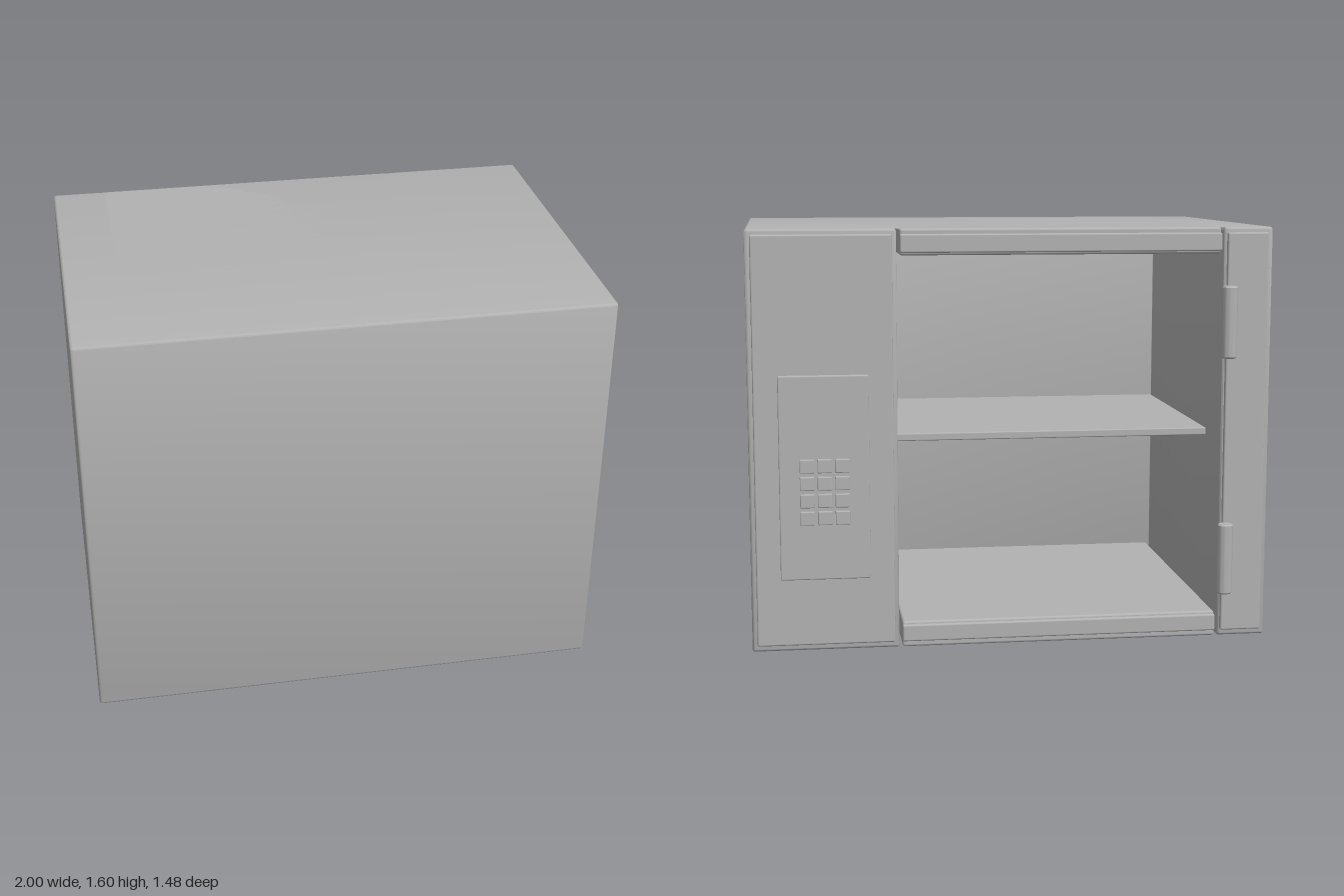
import * as THREE from 'three';
import { RoundedBoxGeometry } from 'three/addons/geometries/RoundedBoxGeometry.js';
import { toCreasedNormals } from 'three/addons/utils/BufferGeometryUtils.js';

const W = 1, H = 1.6, FRONT = 0.735, BACK = -0.66; // shell limits
const INNER_X0 = -0.81, INNER_X1 = 0.44, INNER_Z = 0.54; // cavity limits

export function createModel() {
  const model = new THREE.Group();
  model.name = 'safe';
  const grey = new THREE.MeshStandardMaterial({ color: 0xb2b2b2 });
  grey.name = 'grey metal';

  const add = (name, geometry) => {
    const mesh = new THREE.Mesh(geometry, grey);
    mesh.name = name;
    model.add(mesh);
    return mesh;
  };
  // Softly rounded block given by its limits
  const block = (name, x0, x1, y0, y1, z0, z1, r) => {
    const g = new RoundedBoxGeometry(x1 - x0, y1 - y0, z1 - z0, 3, r);
    add(name, g).position.set((x0 + x1) / 2, (y0 + y1) / 2, (z0 + z1) / 2);
  };

  // Walls: a U-shaped plan (drawn in x, -z) raised to full height
  const pts = [[-W, -FRONT], [W, -FRONT], [W, -BACK], [INNER_X1, -BACK],
    [INNER_X1, -INNER_Z], [INNER_X0, -INNER_Z], [INNER_X0, -BACK], [-W, -BACK]]
    .map(([x, y]) => new THREE.Vector2(x, y));
  const plan = new THREE.Shape();
  pts.forEach((p, i) => {
    const prev = pts[(i + 7) % 8], next = pts[(i + 1) % 8];
    const r = i === 4 || i === 5 ? 0.002 : 0.012;
    const a = p.clone().add(prev.clone().sub(p).setLength(r));
    const b = p.clone().add(next.clone().sub(p).setLength(r));
    if (i === 0) plan.moveTo(a.x, a.y); else plan.lineTo(a.x, a.y);
    plan.quadraticCurveTo(p.x, p.y, b.x, b.y);
  });
  plan.closePath();
  const bevel = 0.01;
  const walls = new THREE.ExtrudeGeometry(plan, {
    depth: H - 2 * bevel, curveSegments: 3, bevelEnabled: true,
    bevelThickness: bevel, bevelSize: bevel, bevelOffset: -bevel, bevelSegments: 3,
  });
  walls.translate(0, 0, bevel);
  walls.rotateX(-Math.PI / 2);
  add('walls', toCreasedNormals(walls, 0.7));

  // Floor and roof slabs, leaving narrow slots beside the walls
  const sx0 = INNER_X0 + 0.012, sx1 = INNER_X1 - 0.012;
  block('floorSlab', sx0, sx1, 0, 0.1, BACK, 0.58, 0.01);
  block('roofSlab', sx0, sx1, H - 0.1, H, BACK, 0.58, 0.01);

  // Inner shelf
  block('shelf', INNER_X0, INNER_X1, 0.765, 0.795, -0.44, INNER_Z + 0.02, 0.005);

  // Raised trim around the opening
  const z0 = -0.677, z1 = -0.65;
  block('hingePlate', -0.98, -0.82, 0.025, 1.58, z0, z1, 0.007);
  block('controlPlate', 0.457, 0.98, 0.025, 1.58, z0, z1, 0.007);
  block('lowerTrim', sx0, sx1, 0.025, 0.09, z0, z1, 0.007);
  block('upperTrim', sx0, sx1, 1.51, 1.58, z0, z1, 0.007);

  // Hinge barrels
  const h = 0.1375, r = 0.03, c = 0.005;
  const profile = [[0, -h], [r - c, -h], [r, -h + c], [r, h - c], [r - c, h], [0, h]]
    .map(([x, y]) => new THREE.Vector2(x, y));
  const barrel = toCreasedNormals(new THREE.LatheGeometry(profile, 32), 0.5);
  for (const y of [0.322, 1.242]) add('hinge', barrel).position.set(-0.822, y, -0.71);

  // Keypad panel with a grid of buttons
  block('keypadPanel', 0.55, 0.888, 0.285, 1.06, -0.697, -0.67, 0.005);
  for (let row = 0; row < 4; row++) {
    for (let col = 0; col < 3; col++) {
      const x = 0.652 + col * 0.066, y = 0.523 + row * 0.066;
      block('keypadButton', x - 0.027, x + 0.027, y - 0.026, y + 0.026, -0.71, -0.692, 0.004);
    }
  }
  return model;
}
